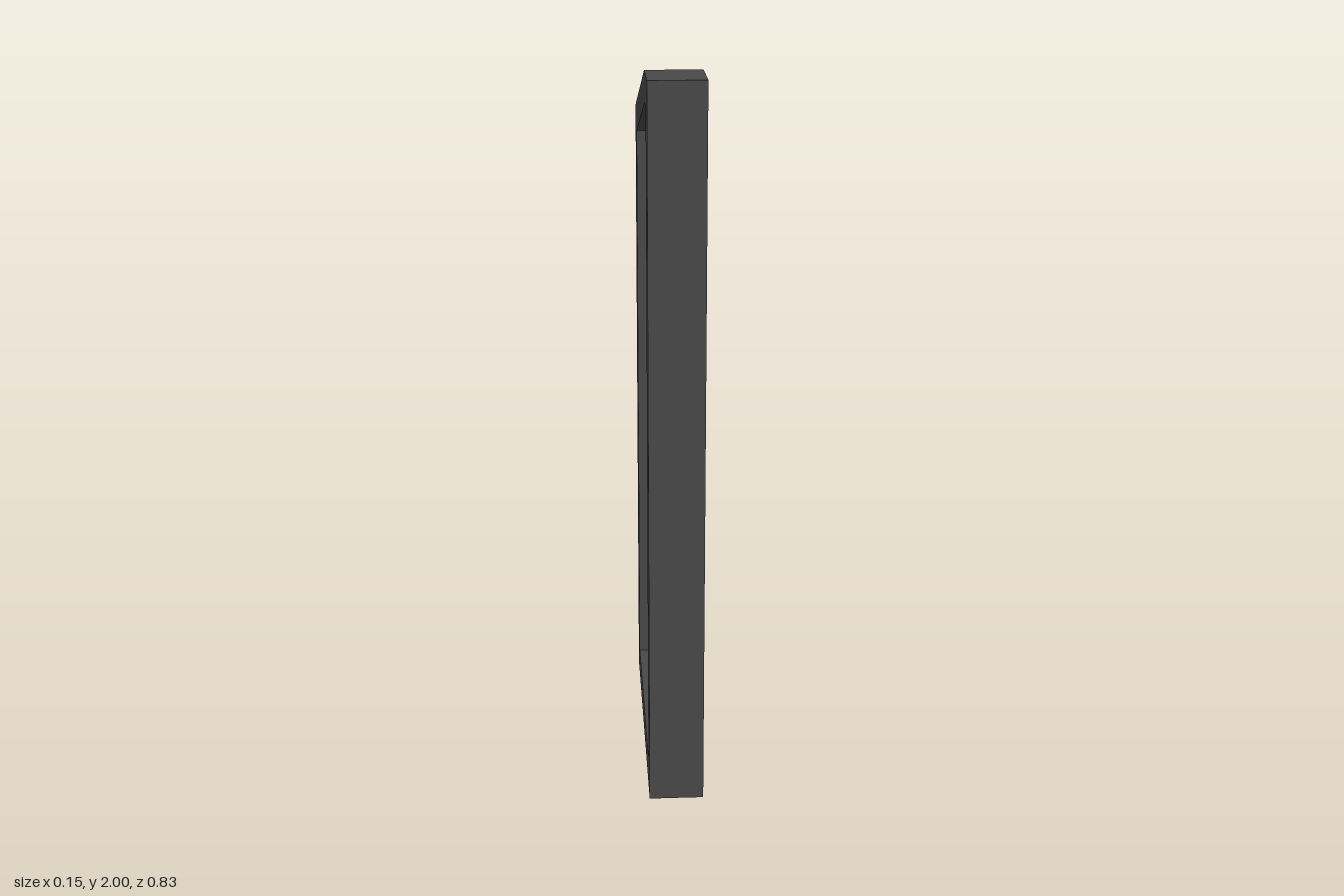
import * as THREE from 'three';

// Outlines as [z, y], seen from the +x side
const OUTER = [[0.415, 0], [-0.415, 0], [-0.415, 1.8], [0.245, 2], [0.415, 2]];
const INNER = [[0.335, 0.08], [-0.335, 0.08], [-0.335, 1.74], [0.255, 1.92], [0.335, 1.92]];

const toPoints = (outline) => outline.map(([z, y]) => new THREE.Vector2(-z, y));

// Extrudes a side profile across x, centred on x = 0
function slab(name, shape, thickness, color) {
  const geometry = new THREE.ExtrudeGeometry(shape, { depth: thickness, bevelEnabled: false });
  geometry.translate(0, 0, -thickness / 2);
  geometry.rotateY(Math.PI / 2);
  const mesh = new THREE.Mesh(geometry, new THREE.MeshStandardMaterial({ color }));
  mesh.name = name;
  return mesh;
}

export function createModel() {
  const group = new THREE.Group();
  group.name = 'windowPanel';

  // Dark frame with an opening that follows its sloped top
  const frameShape = new THREE.Shape(toPoints(OUTER));
  frameShape.holes.push(new THREE.Path(toPoints(INNER)));
  group.add(slab('frame', frameShape, 0.15, 0x484848));

  // Blue pane set back equally from both faces
  group.add(slab('pane', new THREE.Shape(toPoints(INNER)), 0.075, 0x2682c4));

  return group;
}
